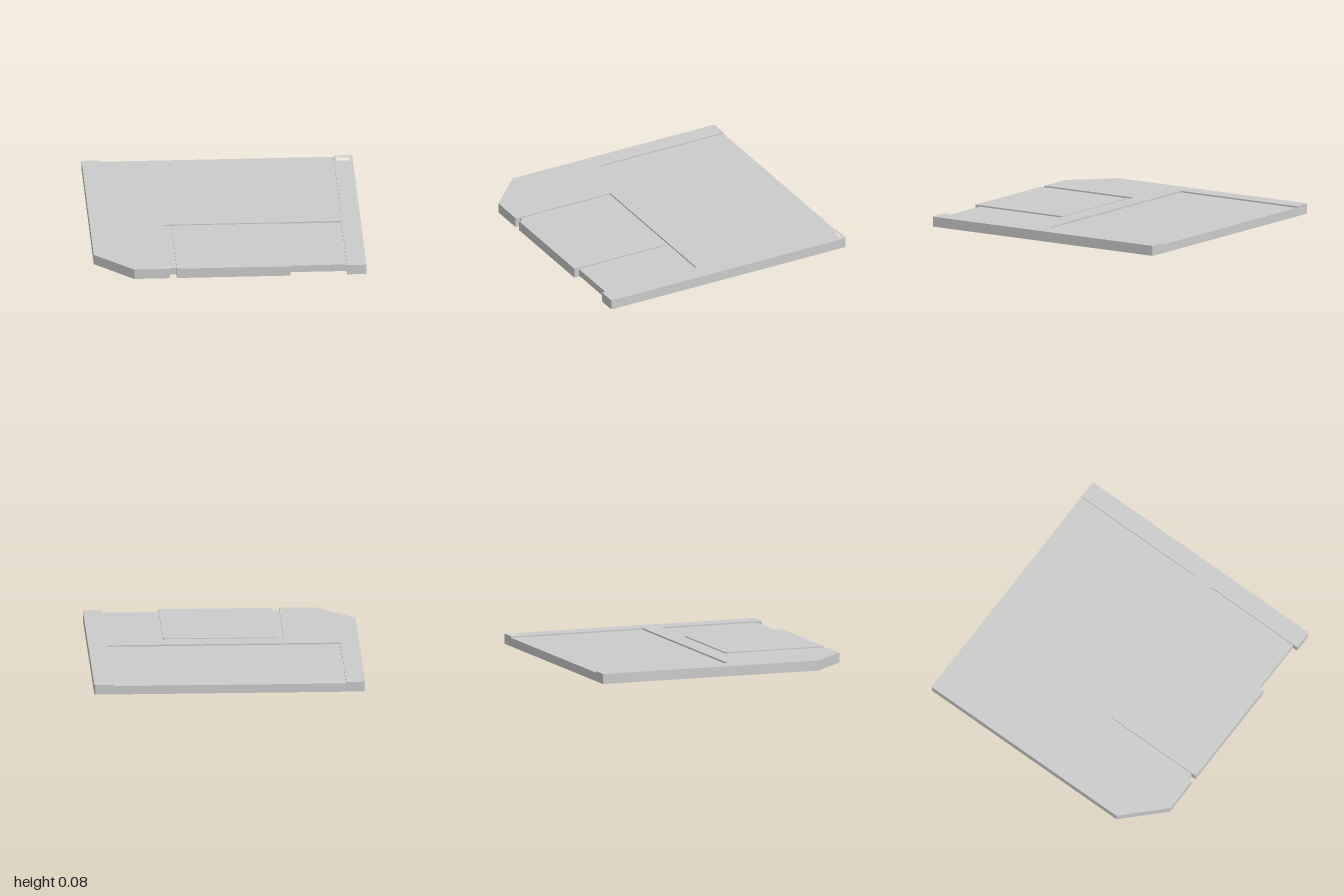
import * as THREE from 'three';

const material = new THREE.MeshStandardMaterial({ color: 0xcccccc, flatShading: true });
const W = 1, D = 0.992, T = 0.075;           // half width, half depth, thickness
const SKIN = 0.011;                          // depth of the shallow recesses
const R = 0.012;                             // small corner radius
const LABEL = { x: 0.86, z: 0.05 };
const TRACK = { x0: -0.45, x1: 0.857, z0: 0.195, z1: 0.955 };
const SHUTTER = { x0: -0.4, x1: 0.44, z0: 0.212 };

// Closed outline from [x, z, radius] corners; y of the shape is -z
function outline(corners, Type = THREE.Shape) {
  const path = new Type();
  const n = corners.length;
  corners.forEach(([x, z, r = 0], i) => {
    const here = new THREE.Vector2(x, -z);
    const toward = ([px, pz]) => {
      const p = new THREE.Vector2(px, -pz);
      return p.sub(here).setLength(r).add(here);
    };
    const a = toward(corners[(i + n - 1) % n]);
    const b = toward(corners[(i + 1) % n]);
    if (i === 0) path.moveTo(a.x, a.y); else path.lineTo(a.x, a.y);
    if (r > 0) path.quadraticCurveTo(here.x, here.y, b.x, b.y);
  });
  path.closePath();
  return path;
}

const rect = (x0, x1, z0, z1, r = 0) => [[x0, z0, r], [x1, z0, r], [x1, z1, r], [x0, z1, r]];

// Horizontal slab between two heights, with optional holes
function slab(name, y0, y1, corners, holes = []) {
  const shape = outline(corners);
  shape.holes = holes.map((h) => outline(h, THREE.Path));
  const geometry = new THREE.ExtrudeGeometry(shape, { depth: y1 - y0, bevelEnabled: false, curveSegments: 4 });
  geometry.rotateX(-Math.PI / 2).translate(0, y0, 0);
  const mesh = new THREE.Mesh(geometry, material);
  mesh.name = name;
  return mesh;
}

// Case outline: front notch reaching back to notchZ, optional label cut at the back
function caseOutline(notchZ, withLabel) {
  const label = withLabel
    ? [[-LABEL.x, -D], [-LABEL.x, LABEL.z], [LABEL.x, LABEL.z], [LABEL.x, -D]]
    : [];
  return [
    [-W, -D, R], ...label, [W, -D, R], [W, D, R],
    [TRACK.x1, D], [TRACK.x1, notchZ], [TRACK.x0, notchZ], [TRACK.x0, D],
    [-0.715, D], [-W, 0.71],
  ];
}

export function createModel() {
  const model = new THREE.Group();
  model.name = 'floppyDisk';

  // Case: skins carry the recesses, the core carries the corner pocket
  const body = new THREE.Group();
  body.name = 'case';
  const pocket = rect(0.878, 0.975, -0.978, -0.882);
  const pocketFloor = 0.032;
  body.add(
    slab('bottomSkin', 0, SKIN, caseOutline(TRACK.z0, false)),
    slab('lowerCore', SKIN, pocketFloor, caseOutline(TRACK.z1, false)),
    slab('upperCore', pocketFloor, T - SKIN, caseOutline(TRACK.z1, false), [pocket]),
    slab('topSkin', T - SKIN, T, caseOutline(TRACK.z0, true), [pocket]),
  );
  model.add(body);

  // Sliding shutter: a plate with a window on each side, joined by a front lip
  const shutter = new THREE.Group();
  shutter.name = 'shutter';
  const { x0, x1, z0 } = SHUTTER;
  const plate = [[x0, z0, 0.03], [x1, z0, 0.03], [x1, D], [x0, D]];
  const opening = rect(-0.295, -0.003, 0.257, 0.9, 0.006);
  shutter.add(
    slab('shutterTop', T - SKIN, T, plate, [opening]),
    slab('shutterBottom', 0, SKIN, plate, [opening]),
    slab('shutterLip', SKIN, T - SKIN, rect(x0, x1, TRACK.z1, D)),
  );
  model.add(shutter);

  return model;
}
